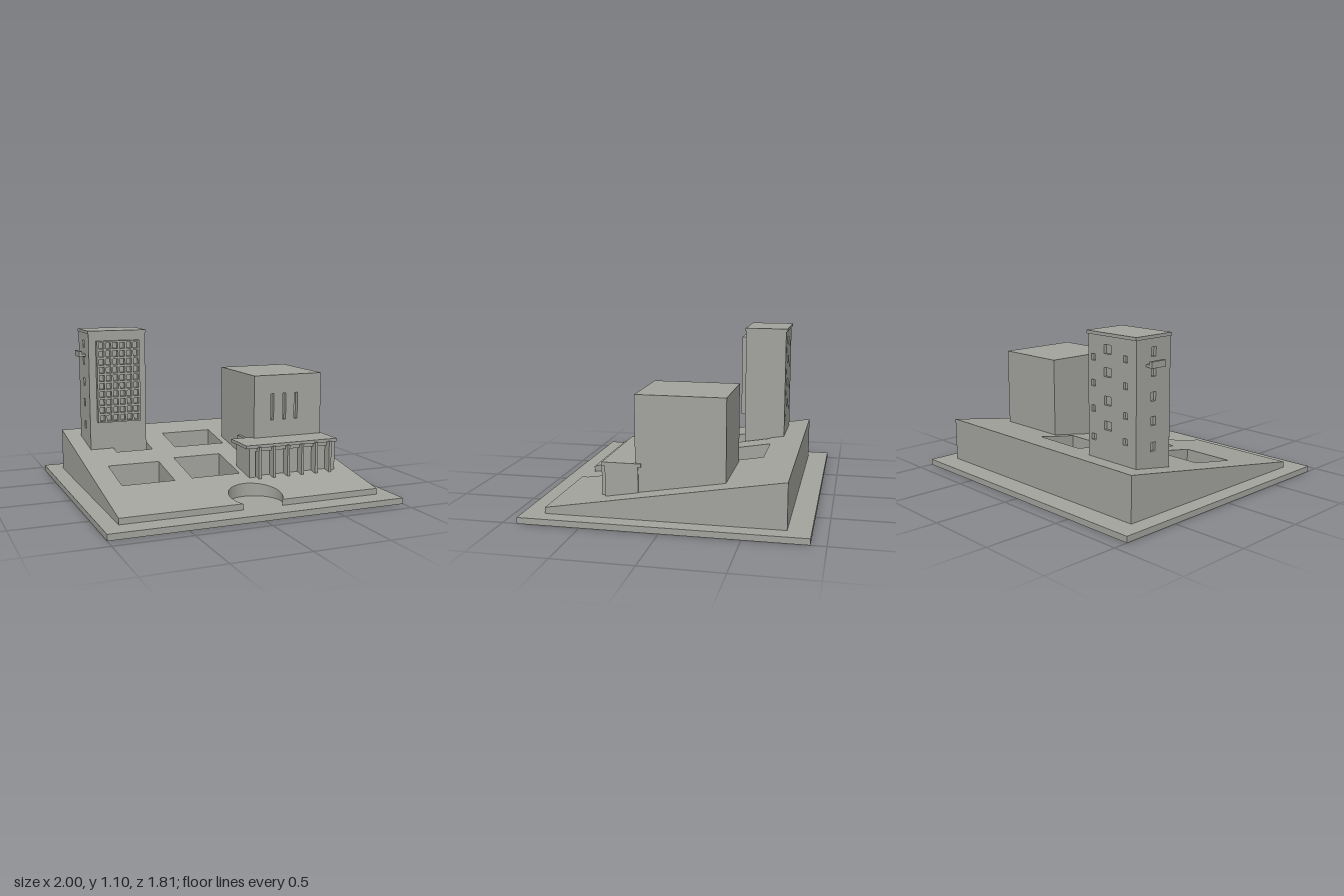
import * as THREE from 'three';

const concrete = new THREE.MeshStandardMaterial({ color: 0xa3a49e });
concrete.name = 'concrete grey';

const BASE_TOP = 0.04;
// Height of the sloping plaza at depth z
const plazaHeight = (z) => 0.08 + (0.76 - z) * (0.255 / 1.52);

function add(parent, name, geometry) {
  const mesh = new THREE.Mesh(geometry, concrete);
  mesh.name = name;
  parent.add(mesh);
  return mesh;
}

// Box given by its limits on each axis
function block(parent, name, [x0, x1], [y0, y1], [z0, z1]) {
  const mesh = add(parent, name, new THREE.BoxGeometry(x1 - x0, y1 - y0, z1 - z0));
  mesh.position.set((x0 + x1) / 2, (y0 + y1) / 2, (z0 + z1) / 2);
  return mesh;
}

function rectangle(Type, x0, x1, y0, y1) {
  return new Type([[x0, y0], [x1, y0], [x1, y1], [x0, y1]].map((p) => new THREE.Vector2(...p)));
}

// Upright wall plate with rectangular openings [x0, x1, y0, y1]
function wall(parent, name, limits, openings, depth) {
  const shape = rectangle(THREE.Shape, ...limits);
  openings.forEach((o) => shape.holes.push(rectangle(THREE.Path, ...o)));
  return add(parent, name, new THREE.ExtrudeGeometry(shape, { depth, bevelEnabled: false }));
}

const opening = (x, y, w, h) => [x - w / 2, x + w / 2, y - h / 2, y + h / 2];

// Sloping wedge with sunken courts and a round entrance notch
function buildPlaza(parent) {
  const cx = 0.05, cz = 0.65, r = 0.175, dz = 0.76 - cz;
  const half = Math.sqrt(r * r - dz * dz);
  const shape = new THREE.Shape();
  shape.moveTo(-0.89, -0.76);
  shape.lineTo(cx - half, -0.76);
  shape.absarc(cx, -cz, r, Math.atan2(-dz, -half), Math.atan2(-dz, half), true);
  shape.lineTo(0.89, -0.76);
  shape.lineTo(0.89, 0.76);
  shape.lineTo(-0.89, 0.76);
  shape.closePath();
  const courts = [ // x0, x1, z0, z1
    [-0.74, -0.38, -0.01, 0.32],
    [-0.255, 0.09, -0.05, 0.31],
    [-0.175, 0.2, -0.53, -0.245],
    [-0.615, -0.35, -0.51, -0.24],
  ];
  courts.forEach(([x0, x1, z0, z1]) => shape.holes.push(rectangle(THREE.Path, x0, x1, -z1, -z0)));
  const geometry = new THREE.ExtrudeGeometry(shape, { depth: 1, bevelEnabled: false, curveSegments: 40 });
  geometry.rotateX(-Math.PI / 2);
  const p = geometry.attributes.position;
  for (let i = 0; i < p.count; i++) {
    p.setY(i, BASE_TOP + p.getY(i) * (plazaHeight(p.getZ(i)) - BASE_TOP));
  }
  geometry.computeVertexNormals();
  add(parent, 'slopingPlaza', geometry);
}

function buildTower(parent) {
  const tower = new THREE.Group();
  tower.name = 'tower';
  parent.add(tower);
  block(tower, 'towerCore', [-0.76, -0.37], [BASE_TOP, 1.08], [-0.59, -0.32]);
  block(tower, 'towerRoof', [-0.785, -0.365], [1.08, 1.1], [-0.62, -0.315]);

  // Back wall: three staggered columns of windows
  const back = [];
  [0.94, 0.78, 0.62, 0.44].forEach((y) => back.push(opening(-0.415, y, 0.035, 0.04)));
  [1.0, 0.86, 0.685, 0.53].forEach((y) => back.push(opening(-0.54, y, 0.06, 0.055)));
  [0.96, 0.8, 0.62, 0.46].forEach((y) => back.push(opening(-0.69, y, 0.035, 0.04)));
  wall(tower, 'towerBackWall', [-0.78, -0.37, BASE_TOP, 1.08], back, 0.02).position.z = -0.61;

  // Side wall: one column of windows
  const side = [1.0, 0.88, 0.73, 0.58, 0.42].map((y) => opening(-0.465, y, 0.04, 0.055));
  const sideWall = wall(tower, 'towerSideWall', [-0.59, -0.32, BASE_TOP, 1.08], side, 0.02);
  sideWall.rotation.y = -Math.PI / 2;
  sideWall.position.x = -0.76;

  // Small balcony
  block(tower, 'balconySlab', [-0.81, -0.775], [0.917, 0.932], [-0.53, -0.41]);
  block(tower, 'balconyParapet', [-0.828, -0.806], [0.912, 0.952], [-0.53, -0.41]);

  // Front sun screen, six cells wide and ten high
  const cells = [];
  for (let i = 0; i < 6; i++) {
    for (let j = 0; j < 10; j++) cells.push(opening(-0.698 + i * 0.0495, 0.486 + j * 0.0567, 0.036, 0.042));
  }
  wall(tower, 'sunScreen', [-0.73, -0.42, 0.455, 1.03], cells, 0.035).position.z = -0.32;
}

function buildAuditorium(parent) {
  const hall = new THREE.Group();
  hall.name = 'auditorium';
  parent.add(hall);
  block(hall, 'auditoriumCore', [0.245, 0.765], [BASE_TOP, 0.8], [-0.37, 0.175]);
  const slots = [0.383, 0.477, 0.568].map((x) => opening(x, 0.577, 0.025, 0.185));
  wall(hall, 'auditoriumFrontWall', [0.245, 0.765, BASE_TOP, 0.8], slots, 0.03).position.z = 0.175;
  block(hall, 'sideAnnex', [0.225, 0.25], [BASE_TOP, 0.345], [-0.035, 0.19]);
}

function buildEntrance(parent) {
  const entrance = new THREE.Group();
  entrance.name = 'entranceHall';
  parent.add(entrance);
  block(entrance, 'entranceCore', [0.122, 0.775], [BASE_TOP, 0.345], [0.185, 0.375]);
  wall(entrance, 'entranceFrontWall', [0.122, 0.775, BASE_TOP, 0.345],
    [[0.165, 0.74, 0.09, 0.317]], 0.025).position.z = 0.375;
  block(entrance, 'entranceRoof', [0.09, 0.78], [0.343, 0.365], [0.165, 0.418]);
  for (let i = 0; i < 6; i++) {
    const x = 0.185 + i * 0.107;
    block(entrance, 'entranceFin', [x - 0.009, x + 0.009], [0.1, 0.35], [0.37, 0.435]);
  }
}

export function createModel() {
  const model = new THREE.Group();
  model.name = 'civicComplex';
  block(model, 'basePlate', [-1, 1], [0, BASE_TOP], [-0.905, 0.905]);
  buildPlaza(model);
  buildTower(model);
  buildAuditorium(model);
  buildEntrance(model);
  return model;
}
